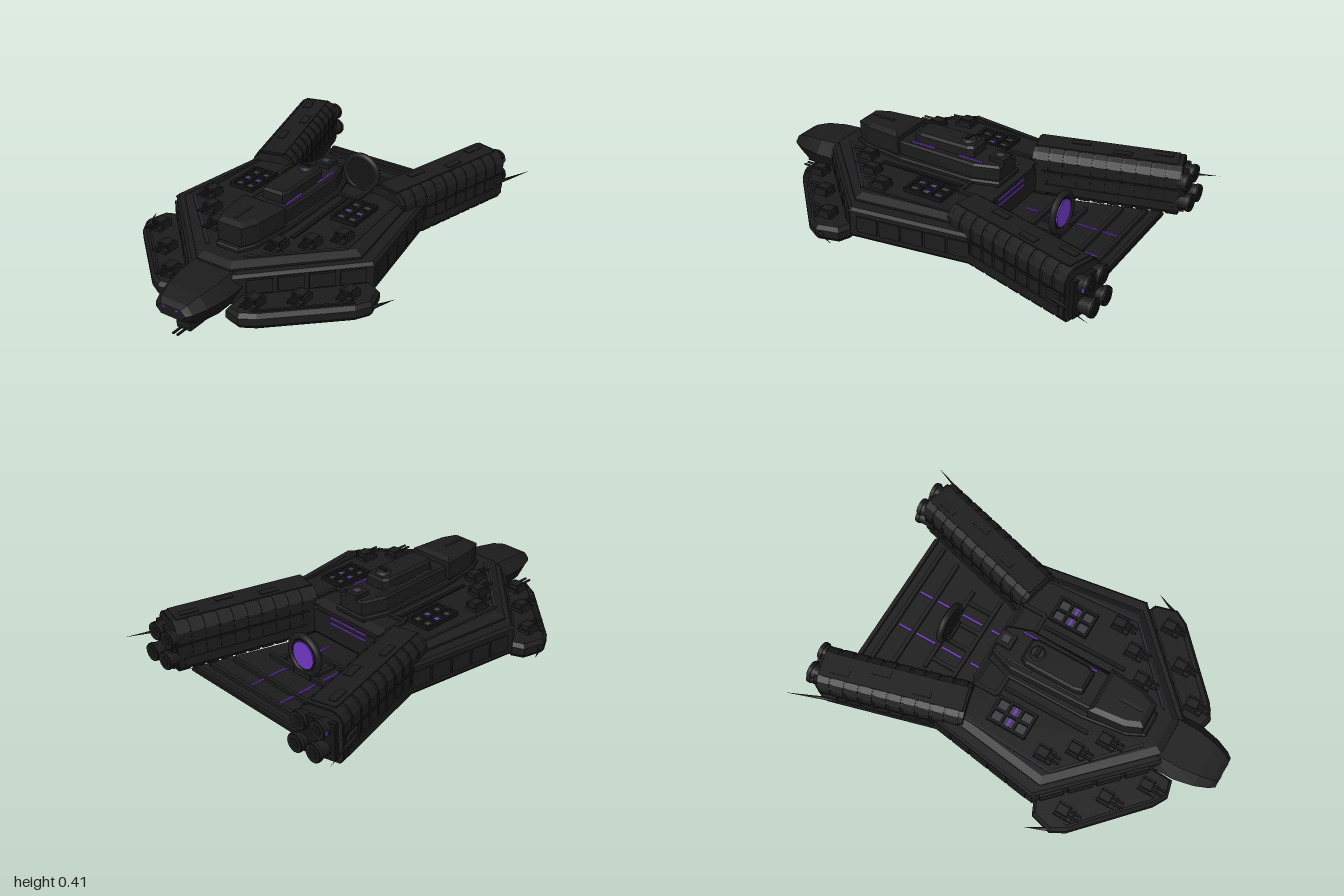
import * as THREE from 'three';

const mat = (name, color) => Object.assign(new THREE.MeshStandardMaterial({ color }), { name });

export function createModel() {
  const ship = new THREE.Group();
  ship.name = 'ship';
  const hull = mat('hull black', 0x1c1c1d);
  const dark = mat('shadow black', 0x141415);
  const trim = mat('trim slate', 0x24262a);
  const pad = mat('hatch grey', 0x3b3c41);
  const glow = mat('violet light', 0x7038c4);

  const add = (name, geo, m, x = 0, y = 0, z = 0, ry = 0) => {
    const mesh = new THREE.Mesh(geo, m);
    mesh.name = name;
    mesh.position.set(x, y, z);
    mesh.rotation.y = ry;
    ship.add(mesh);
    return mesh;
  };
  const box = (name, m, w, h, d, x, y, z, ry = 0) => add(name, new THREE.BoxGeometry(w, h, d), m, x, y, z, ry);
  const shapeOf = pts => new THREE.Shape(pts.map(p => new THREE.Vector2(p[0], p[1])));
  const mirror = half => [...half, ...half.map(([x, z]) => [-x, z]).reverse()];
  // Horizontal plate from an (x, z) outline, with chamfered rims
  const slab = (name, m, pts, y0, y1, b = 0.01, c = b) => {
    const g = new THREE.ExtrudeGeometry(shapeOf(pts), {
      depth: y1 - y0 - 2 * b, bevelThickness: b, bevelSize: c, bevelOffset: -c, bevelSegments: 1,
    });
    g.rotateX(Math.PI / 2).translate(0, y1 - b, 0);
    return add(name, g, m);
  };
  // Straight bar between two (x, z) points, its bottom at y
  const beam = (name, m, a, b, y, w, h) => {
    const dx = b[0] - a[0], dz = b[1] - a[1];
    return box(name, m, w, h, Math.hypot(dx, dz), (a[0] + b[0]) / 2, y + h / 2, (a[1] + b[1]) / 2, Math.atan2(dx, dz));
  };
  const cyl = (name, m, r0, r1, len, x, y, z, n = 16) =>
    add(name, new THREE.CylinderGeometry(r0, r1, len, n).rotateX(Math.PI / 2), m, x, y, z);
  const spike = (name, a, b, r) => {
    const A = new THREE.Vector3(...a), B = new THREE.Vector3(...b), d = B.clone().sub(A);
    const mesh = add(name, new THREE.ConeGeometry(r, d.length(), 6), hull);
    mesh.position.copy(A.add(B).multiplyScalar(0.5));
    mesh.quaternion.setFromUnitVectors(new THREE.Vector3(0, 1, 0), d.normalize());
  };
  // Twin-barrel gun facing forward
  const turret = (x, y, z) => {
    box('turretBase', hull, 0.066, 0.016, 0.09, x, y + 0.008, z);
    box('turretHead', hull, 0.042, 0.026, 0.055, x, y + 0.026, z - 0.01);
    for (const s of [-1, 1]) {
      cyl('turretBarrel', dark, 0.006, 0.006, 0.1, x + s * 0.012, y + 0.027, z + 0.03, 6);
      box('turretShield', hull, 0.01, 0.03, 0.06, x + s * 0.03, y + 0.02, z - 0.01);
    }
  };

  // Main hull and raised deck
  slab('lowerHull', hull, mirror([[0.12, 0.72], [0.56, 0.28], [0.47, -0.32], [0.26, -0.24]]), 0.06, 0.215, 0.015, 0.012);
  slab('upperDeck', hull, mirror([[0.09, 0.7], [0.5, 0.29], [0.43, -0.24]]), 0.2, 0.25, 0.02, 0.035);
  slab('keelPlate', hull, mirror([[0.1, 0.68], [0.4, 0.3], [0.38, -0.16]]), 0.05, 0.07);
  slab('rearDeck', hull, mirror([[0.34, -0.13], [0.275, -0.36], [0.42, -0.84]]), 0.028, 0.052, 0.006);

  // Nose, lofted through hexagonal sections: z, half width, bottom, middle, top
  const secs = [[0.62, 0.15, 0.07, 0.16, 0.225], [0.8, 0.15, 0.065, 0.155, 0.214], [0.9, 0.128, 0.07, 0.15, 0.202],
    [0.965, 0.1, 0.095, 0.145, 0.182], [0.99, 0.08, 0.115, 0.142, 0.166]].map(([z, w, b, m, t]) =>
    [[w * 0.68, t], [w, m], [w * 0.68, b], [-w * 0.68, b], [-w, m], [-w * 0.68, t]].map(p => [p[0], p[1], z]));
  const tri = [];
  for (let i = 0; i < secs.length - 1; i++) for (let j = 0; j < 6; j++) {
    const k = (j + 1) % 6, a = secs[i][j], b = secs[i][k], c = secs[i + 1][k], d = secs[i + 1][j];
    tri.push(...a, ...d, ...b, ...b, ...d, ...c);
  }
  const tip = secs[secs.length - 1];
  for (let j = 1; j < 5; j++) tri.push(...tip[0], ...tip[j + 1], ...tip[j]);
  const noseGeo = new THREE.BufferGeometry();
  noseGeo.setAttribute('position', new THREE.Float32BufferAttribute(tri, 3));
  noseGeo.computeVertexNormals();
  add('nose', noseGeo, hull);
  box('chinGunBase', hull, 0.075, 0.055, 0.09, 0, 0.038, 0.87);
  for (const s of [-1, 1]) {
    cyl('chinGunBarrel', dark, 0.006, 0.006, 0.08, s * 0.012, 0.016, 0.93, 6);
    box('noseEye', glow, 0.018, 0.007, 0.004, s * 0.035, 0.158, 0.99);
  }

  // Command spine and tower
  slab('spineBase', hull, mirror([[0.06, 0.6], [0.1, 0.52], [0.13, 0.3], [0.13, -0.1], [0.09, -0.23]]), 0.24, 0.27, 0.008);
  slab('spine', hull, mirror([[0.085, 0.5], [0.1, 0.3], [0.11, -0.1], [0.07, -0.22]]), 0.25, 0.34, 0.01);
  slab('bridge', hull, mirror([[0.065, 0.58], [0.1, 0.5], [0.118, 0.32]]), 0.26, 0.38, 0.015, 0.025);
  slab('towerTop', hull, mirror([[0.055, 0.26], [0.068, 0.22], [0.068, -0.04], [0.05, -0.07]]), 0.32, 0.393, 0.012);
  box('bridgeRidge', trim, 0.012, 0.006, 0.12, 0, 0.381, 0.48);
  add('towerDome', new THREE.CylinderGeometry(0.03, 0.038, 0.016, 16), trim, 0, 0.4, -0.01);
  box('towerSensor', dark, 0.045, 0.012, 0.02, 0, 0.409, -0.01);
  box('rearBlock', hull, 0.075, 0.11, 0.08, 0, 0.305, -0.18);
  box('rearHatch', pad, 0.036, 0.006, 0.036, 0, 0.361, -0.18);
  box('rearLip', hull, 0.4, 0.018, 0.04, 0, 0.221, -0.23);
  for (const y of [0.165, 0.195]) box('rearWallLight', glow, 0.24, 0.009, 0.006, 0, y, -0.242);

  // Rear deck frames and lights
  for (const [z, w] of [[-0.83, 0.77], [-0.77, 0.72], [-0.665, 0.64], [-0.52, 0.46], [-0.37, 0.5]])
    box('deckFrame', hull, w, 0.02, 0.02, 0, 0.06, z);
  for (const s of [-1, 1]) {
    for (const [z, l] of [[-0.705, 0.09], [-0.595, 0.11], [-0.445, 0.11], [-0.3, 0.07]])
      box('deckLight', glow, 0.009, 0.008, l, s * 0.1, 0.054, z);
    for (const x of [0.05, 0.17]) box('deckRib', hull, 0.02, 0.014, 0.13, s * x, 0.058, -0.445);
  }

  // Reactor ring on the rear deck
  add('reactorRing', new THREE.TorusGeometry(0.092, 0.017, 8, 32), hull, 0, 0.157, -0.51);
  cyl('reactorBack', dark, 0.09, 0.09, 0.02, 0, 0.157, -0.507, 32);
  cyl('reactorGlow', glow, 0.068, 0.068, 0.008, 0, 0.157, -0.519, 32);
  box('reactorFoot', hull, 0.11, 0.03, 0.05, 0, 0.06, -0.51);

  const angle = 0.265;
  // Nacelle cross-section grown outwards by e
  const section = e => {
    const half = [[0.084 + e, 0.052 - e], [0.104 + e, 0.08], [0.104 + e, 0.25], [0.084 + e, 0.278 + e], [0.06, 0.294 + e]];
    return shapeOf(mirror(half));
  };
  for (const s of [-1, 1]) {
    // Swept nacelle with ribs and panels
    const nac = new THREE.Group();
    nac.name = 'nacelle';
    nac.position.set(s * 0.43, 0, -0.555);
    nac.rotation.y = -s * angle;
    ship.add(nac);
    const part = (name, geo, m, x = 0, y = 0, z = 0) => {
      nac.add(add(name, geo, m, x, y, z));
    };
    part('nacelleBody', new THREE.ExtrudeGeometry(section(0), { depth: 0.715, bevelEnabled: false }), hull, 0, 0, -0.34);
    for (let i = 0; i < 10; i++)
      part('nacelleRib', new THREE.ExtrudeGeometry(section(0.004), { depth: 0.056, bevelEnabled: false }), hull, 0, 0, -0.335 + i * 0.07);
    part('nacelleTopPlate', new THREE.BoxGeometry(0.12, 0.01, 0.68), hull, 0, 0.298, 0.025);
    for (const [x, z] of [[-0.02, -0.24], [0.025, -0.05], [-0.02, 0.16]])
      part('nacelleHatch', new THREE.BoxGeometry(0.035, 0.006, 0.09), hull, x, 0.304, z);
    for (const e of [-1, 1]) {
      part('nacelleRail', new THREE.BoxGeometry(0.012, 0.012, 0.66), dark, e * 0.106, 0.19, 0);
      part('nacelleSkirt', new THREE.BoxGeometry(0.016, 0.045, 0.62), hull, e * 0.104, 0.1, 0);
    }

    // Thruster cluster
    box('thrusterMount', dark, 0.18, 0.18, 0.06, s * 0.51, 0.165, -0.88, -s * angle);
    for (const [x, y, z] of [[0.445, 0.225, -0.91], [0.55, 0.225, -0.9], [0.445, 0.125, -0.93], [0.55, 0.125, -0.925]]) {
      cyl('thruster', hull, 0.036, 0.042, 0.07, s * x, y, z);
      cyl('thrusterCollar', hull, 0.045, 0.045, 0.015, s * x, y, z - 0.022);
      cyl('thrusterNozzle', dark, 0.026, 0.026, 0.006, s * x, y, z - 0.034);
    }
    box('thrusterMarker', glow, 0.004, 0.02, 0.012, s * 0.595, 0.225, -0.92);
    box('rearSpikeMount', hull, 0.04, 0.06, 0.07, s * 0.605, 0.16, -0.8, -s * angle);
    spike('rearSpike', [s * 0.615, 0.16, -0.78], [s * 0.7, 0.16, -1], 0.011);

    // Front gun sponson
    const pts = [[0.13, 0.68], [0.14, 0.8], [0.22, 0.82], [0.29, 0.78], [0.6, 0.49], [0.64, 0.42], [0.61, 0.31], [0.54, 0.28]];
    slab('sponson', hull, pts.map(([x, z]) => [s * x, z]), 0.04, 0.115, 0.02, 0.015);
    beam('sponsonRail', hull, [s * 0.26, 0.765], [s * 0.58, 0.465], 0.113, 0.012, 0.008);
    spike('frontSpike', [s * 0.625, 0.08, 0.42], [s * 0.68, 0.08, 0.3], 0.011);
    for (const [x, z] of [[0.53, 0.44], [0.375, 0.58], [0.23, 0.72]]) turret(s * x, 0.115, z);
    for (const [x, z] of [[0.37, 0.24], [0.28, 0.36], [0.17, 0.46]]) turret(s * x, 0.25, z);

    // Hull wall panels
    for (let i = 0; i < 4; i++) {
      const t = i * 0.25, p = u => [s * (0.15 + 0.39 * u), 0.685 - 0.39 * u];
      beam('bowPanel', hull, p(t + 0.02), p(t + 0.23), 0.125, 0.03, 0.07);
    }
    for (let i = 0; i < 5; i++) {
      const q = u => [s * (0.552 - 0.083 * u), 0.25 - 0.56 * u];
      beam('sidePanel', hull, q(i * 0.2 + 0.01), q(i * 0.2 + 0.19), 0.1, 0.02, 0.08);
    }
    box('cornerLight', glow, 0.008, 0.008, 0.01, s * 0.555, 0.2, 0.28);

    // Deck trim and details
    beam('deckEdge', trim, [s * 0.43, 0.3], [s * 0.1, 0.61], 0.247, 0.014, 0.01);
    beam('deckEdge', trim, [s * 0.43, 0.3], [s * 0.4, -0.2], 0.247, 0.01, 0.008);
    beam('deckStep', hull, [s * 0.12, -0.1], [s * 0.23, -0.1], 0.247, 0.02, 0.014);
    beam('deckStep', hull, [s * 0.23, -0.22], [s * 0.23, -0.1], 0.247, 0.02, 0.014);
    beam('deckConduit', dark, [s * 0.18, -0.08], [s * 0.18, 0.36], 0.247, 0.02, 0.01);
    for (const z of [0.2, -0.065]) box('spineLight', s > 0 ? glow : pad, 0.008, 0.01, 0.13, s * 0.076, 0.342, z);

    // Deck hatches sunk in a raised lattice
    for (const x of [0.26, 0.32]) for (const z of [-0.043, 0.02, 0.083]) {
      box('hatch', pad, 0.05, 0.004, 0.053, s * x, 0.252, z);
      if (z === 0.02) box('hatchLight', glow, 0.042, 0.003, 0.014, s * x, 0.2545, z);
    }
    for (const x of [0.23, 0.29, 0.35]) box('hatchFrame', dark, 0.014, 0.022, 0.2, s * x, 0.26, 0.02);
    for (const z of [-0.075, -0.012, 0.052, 0.115]) box('hatchFrame', dark, 0.13, 0.022, 0.014, s * 0.29, 0.26, z);

    // Keel bracing
    beam('keelBrace', hull, [s * 0.05, 0.55], [s * 0.32, 0.28], 0.042, 0.02, 0.012);
    beam('keelBrace', hull, [s * 0.08, 0.25], [s * 0.3, 0.05], 0.042, 0.02, 0.012);
    beam('keelBrace', hull, [s * 0.1, -0.25], [s * 0.1, -0.6], 0.022, 0.02, 0.01);
  }
  return ship;
}
